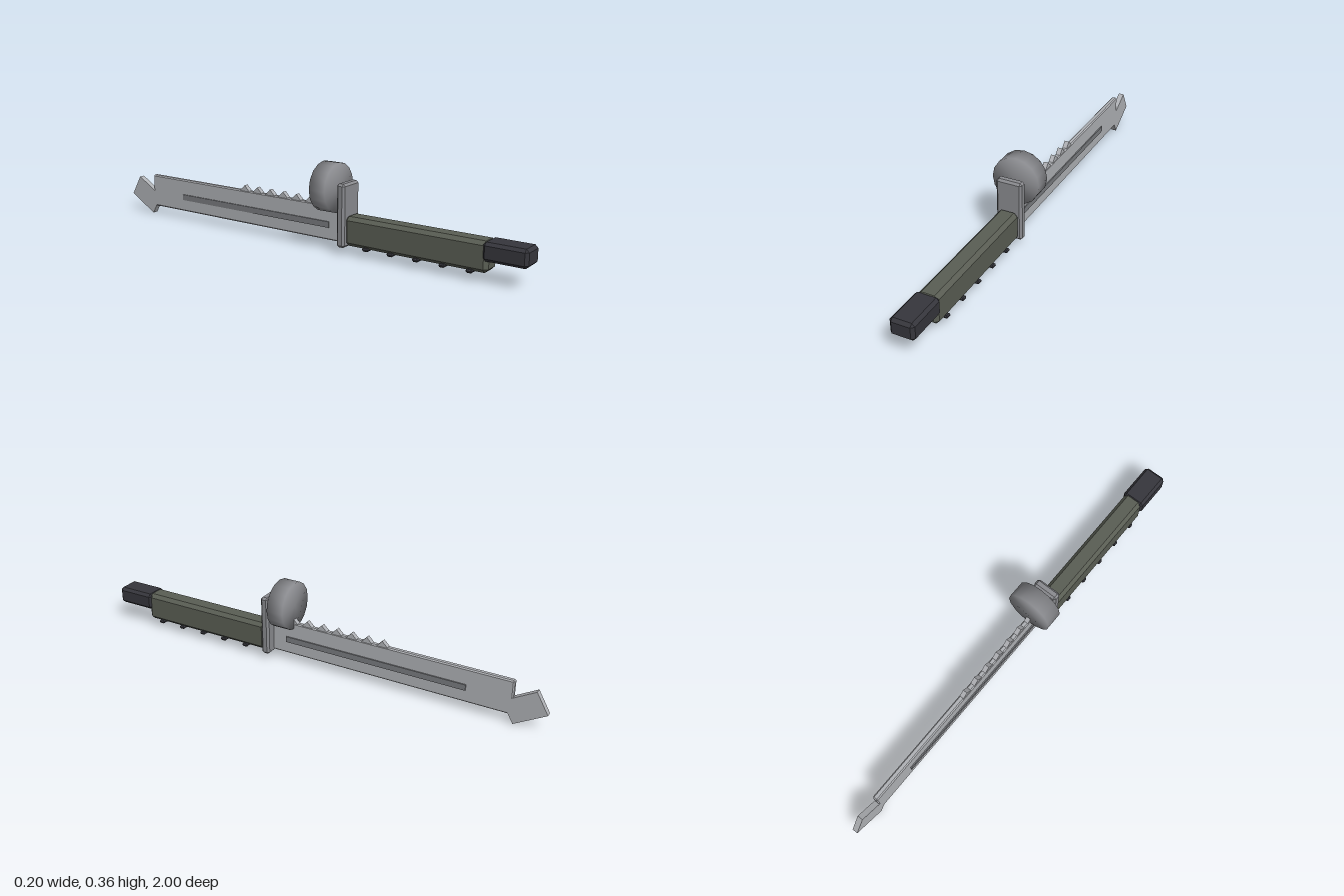
import * as THREE from 'three';
import { mergeVertices } from 'three/addons/utils/BufferGeometryUtils.js';
import { ConvexGeometry } from 'three/addons/geometries/ConvexGeometry.js';

const mat = (name, color) => {
  const m = new THREE.MeshStandardMaterial({ color });
  m.name = name;
  return m;
};

// Box between two corners with all edges cut by c
function chamferBox(min, max, c) {
  const pts = [];
  for (let i = 0; i < 8; i++) {
    const s = [i & 1, i & 2, i & 4];
    for (let full = 0; full < 3; full++) {
      const p = s.map((hi, a) => {
        const inset = a === full ? 0 : c;
        return hi ? max[a] - inset : min[a] + inset;
      });
      pts.push(new THREE.Vector3(...p));
    }
  }
  return new ConvexGeometry(pts);
}

export function createModel() {
  const model = new THREE.Group();
  model.name = 'bayonet';
  const steel = mat('blade steel', 0xb0b2b6);
  const guardSteel = mat('guard steel', 0x8a8b8f);
  const grooveGrey = mat('groove grey', 0x7a7c80);
  const olive = mat('olive grip', 0x5a5e54);
  const black = mat('black fittings', 0x36363c);

  const add = (name, geometry, material) => {
    const mesh = new THREE.Mesh(geometry, material);
    mesh.name = name;
    model.add(mesh);
    return mesh;
  };

  // Blade with softened edges
  add('blade', chamferBox([-0.012, 0.037, -0.862], [0.012, 0.182, 0.2], 0.005), steel);

  // Angled clip at the point
  const tip = add('bladeTip', new THREE.BoxGeometry(0.024, 0.1, 0.15), steel);
  tip.position.set(0, 0.081, -0.91);
  tip.rotation.x = Math.PI / 6;

  // Raised strips along both blade sides
  for (const side of [-1, 1]) {
    const strip = add('fuller', new THREE.BoxGeometry(0.006, 0.025, 0.805), grooveGrey);
    strip.position.set(side * 0.014, 0.102, -0.272);
  }

  // Saw teeth: small boxes standing on their corners along the spine
  for (let i = 0; i < 7; i++) {
    const tooth = add('sawTooth', new THREE.BoxGeometry(0.02, 0.035, 0.035), steel);
    tooth.position.set(0, 0.18, 0.1 - i * 0.069);
    tooth.rotation.x = Math.PI / 4;
  }

  // Muzzle ring: softly shaded sixteen-sided disc
  let disc = new THREE.CylinderGeometry(0.102, 0.102, 0.074, 16);
  disc.deleteAttribute('normal');
  disc.deleteAttribute('uv');
  disc = mergeVertices(disc);
  disc.computeVertexNormals();
  disc.rotateX(Math.PI / 2);
  add('muzzleRing', disc, guardSteel).position.set(0, 0.258, 0.131);

  // Crossguard
  add('crossguard', chamferBox([-0.056, 0.028, 0.193], [0.056, 0.288, 0.23], 0.009), guardSteel);

  // Grip with finger ribs underneath
  add('grip', chamferBox([-0.042, 0.036, 0.222], [0.042, 0.157, 0.843], 0.015), olive);
  for (let i = 0; i < 5; i++) {
    const z = 0.323 + i * 0.1125;
    add('gripRib', chamferBox([-0.047, 0.029, z - 0.013], [0.047, 0.043, z + 0.013], 0.005), black);
  }

  // Pommel
  add('pommel', chamferBox([-0.05, 0.084, 0.822], [0.05, 0.157, 1], 0.012), black);

  return model;
}
